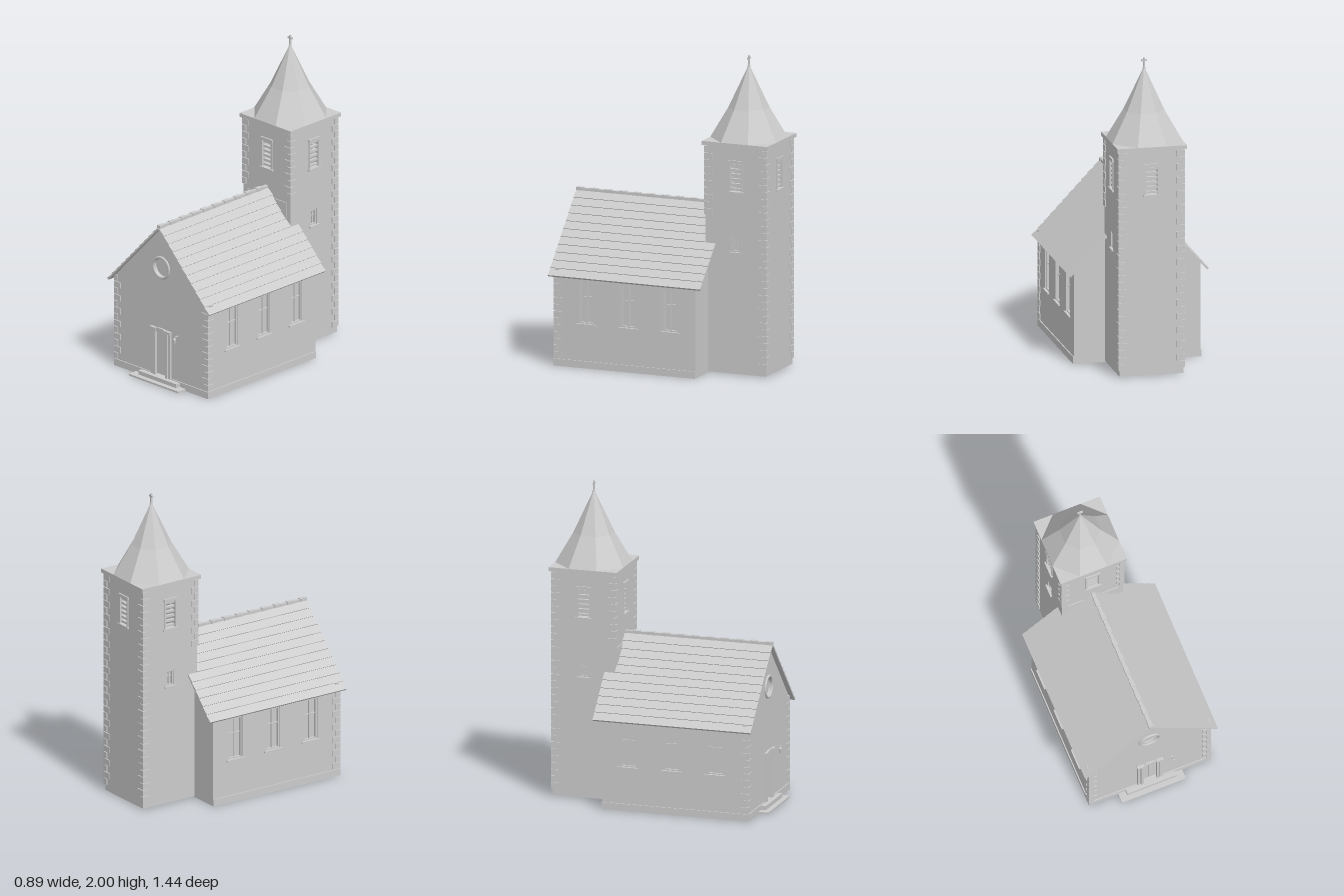
import * as THREE from 'three';

const stone = new THREE.MeshStandardMaterial({ color: 0xcccccc });
stone.name = 'pale grey stone';

function add(parent, name, geometry, x = 0, y = 0, z = 0) {
  const mesh = new THREE.Mesh(geometry, stone);
  mesh.name = name;
  mesh.position.set(x, y, z);
  parent.add(mesh);
  return mesh;
}
const box = (parent, name, w, h, d, x, y, z) => add(parent, name, new THREE.BoxGeometry(w, h, d), x, y, z);

// Group whose local +z points out of the wall
function face(parent, name, x, z, yaw) {
  const g = new THREE.Group();
  g.name = name;
  g.position.set(x, 0, z);
  g.rotation.y = yaw;
  parent.add(g);
  return g;
}
const polygon = (pts) => new THREE.Shape(pts.map(([x, y]) => new THREE.Vector2(x, y)));
const rect = (x, y0, w, y1) => polygon([[x - w / 2, y0], [x + w / 2, y0], [x + w / 2, y1], [x - w / 2, y1]]);

const T = 0.03; // wall thickness
function wall(parent, name, shape, holes = []) {
  shape.holes.push(...holes);
  add(parent, name, new THREE.ExtrudeGeometry(shape, { depth: T, bevelEnabled: false, curveSegments: 16 }), 0, 0, -T);
}

// Glazed window with glazing bars and sill
function glazed(parent, x, y0, w, y1) {
  const h = y1 - y0, y = (y0 + y1) / 2;
  box(parent, 'windowPane', w, h, 0.004, x, y, -0.024);
  for (const s of [-1, 1]) {
    box(parent, 'windowFrameSide', 0.01, h, 0.016, x + s * (w / 2 - 0.005), y, -0.014);
    box(parent, 'windowFrameRail', w, 0.01, 0.016, x, y + s * (h / 2 - 0.005), -0.014);
  }
  box(parent, 'windowMullion', 0.007, h, 0.01, x, y, -0.018);
  box(parent, 'windowTransom', w, 0.007, 0.01, x, y0 + h * 0.62, -0.018);
  box(parent, 'windowSill', w + 0.03, 0.01, 0.04, x, y0 - 0.003, -0.008);
}

// Alternating long and short corner stones
function quoins(parent, x, z, sx, sz, y0, y1) {
  const n = Math.round((y1 - y0) / 0.044), h = (y1 - y0) / n, out = 0.007;
  for (let i = 0; i < n; i++) {
    const w = i % 2 ? 0.055 : 0.032, d = i % 2 ? 0.032 : 0.055;
    box(parent, 'cornerStone', w, h - 0.004, d, x + sx * (out - w / 2), y0 + (i + 0.5) * h, z + sz * (out - d / 2));
  }
}

// ---- Nave ----
const HW = 0.403, ZF = 0.645, ZB = -0.31, RIDGE = 1.035, SLOPE = 0.46 / 0.435;
const roofY = (x) => RIDGE - Math.abs(x) * SLOPE;
const gable = () => polygon([[-HW, 0.005], [HW, 0.005], [HW, roofY(HW)], [0, RIDGE], [-HW, roofY(HW)]]);

function buildNave() {
  const nave = new THREE.Group();
  nave.name = 'nave';
  const zMid = (ZF + ZB) / 2, len = ZF - ZB;

  // Front gable with round window and door
  const front = face(nave, 'frontGable', 0, ZF, 0);
  const rose = new THREE.Path();
  rose.absarc(0, 0.77, 0.06, 0, Math.PI * 2);
  wall(front, 'frontWall', gable(), [rose, rect(0, 0.045, 0.11, 0.35)]);
  add(front, 'roundWindowRing', new THREE.TorusGeometry(0.067, 0.009, 8, 32), 0, 0.77, 0.002);
  const pane = add(front, 'roundWindowPane', new THREE.CylinderGeometry(0.061, 0.061, 0.005, 32), 0, 0.77, -0.018);
  pane.rotation.x = Math.PI / 2;

  for (const s of [-1, 1]) {
    box(front, 'doorLeaf', 0.053, 0.305, 0.008, s * 0.0275, 0.1975, -0.02);
    box(front, 'doorPost', 0.018, 0.30, 0.02, s * 0.053, 0.195, 0.004);
    box(front, 'doorPilaster', 0.02, 0.30, 0.014, s * 0.074, 0.195, 0.003);
    box(front, 'doorCapital', 0.046, 0.018, 0.026, s * 0.064, 0.352, 0.006);
  }
  const arch = polygon([[-0.043, 0.335], [0.043, 0.335], [0.043, 0.352], [0.025, 0.364], [-0.025, 0.364], [-0.043, 0.352]]);
  add(front, 'doorHead', new THREE.ExtrudeGeometry(arch, { depth: 0.016, bevelEnabled: false }), 0, 0, -0.004);

  // Steps
  box(front, 'lowerStep', 0.43, 0.012, 0.08, 0, 0.013, 0.032);
  box(front, 'upperStep', 0.33, 0.028, 0.045, 0, 0.031, 0.016);

  // Wall lantern
  box(front, 'lanternBracket', 0.005, 0.005, 0.035, 0.145, 0.352, 0.0175);
  add(front, 'lantern', new THREE.CylinderGeometry(0.009, 0.006, 0.03, 6), 0.145, 0.322, 0.033);
  add(front, 'lanternCap', new THREE.ConeGeometry(0.011, 0.014, 6), 0.145, 0.344, 0.033);

  // Back gable and long walls
  wall(face(nave, 'backGable', 0, ZB, Math.PI), 'backWall', gable());
  for (const s of [-1, 1]) {
    const side = face(nave, s > 0 ? 'leftSide' : 'rightSide', s * HW, zMid, s * Math.PI / 2);
    const xs = [0.43, 0.145, -0.14].map((z) => -s * (z - zMid));
    wall(side, 'sideWall', rect(0, 0.005, len - 2 * T, roofY(HW)), xs.map((x) => rect(x, 0.285, 0.105, 0.56)));
    xs.forEach((x) => glazed(side, x, 0.285, 0.105, 0.56));
    box(side, 'plinthSide', len, 0.045, 0.008, 0, 0.0275, 0.003);
    quoins(nave, s * HW, ZF, s, 1, 0.052, 0.615);
    box(front, 'plinthFront', 0.33, 0.045, 0.008, s * 0.245, 0.0275, 0.003);
  }

  // Roof slopes in lapped courses; the lower courses run past the tower
  const roof = new THREE.Group();
  roof.name = 'naveRoof';
  nave.add(roof);
  const N = 11, E = 0.435, nx = 0.727, ny = 0.687;
  const slope = (s, from, to, zBack) => {
    const at = (i, t) => {
      const x = E * (1 - i / N);
      return [s * (x + nx * t), roofY(x) + ny * t];
    };
    const pts = [at(from, 0)];
    for (let i = from; i < to; i++) pts.push(at(i, 0.015), at(i + 1, 0.009));
    pts.push(at(to, 0));
    add(roof, 'roofCourses', new THREE.ExtrudeGeometry(polygon(pts), { depth: 0.675 - zBack, bevelEnabled: false }), 0, 0, zBack);
  };
  for (const s of [-1, 1]) {
    slope(s, 0, 6, -0.36);
    slope(s, 6, N, -0.295);
    box(roof, 'snowGuard', 0.008, 0.012, 0.025, s * 0.41, 0.622, 0.625);
  }
  for (let i = 0; i < 20; i++) {
    const h = i % 2 ? 0.016 : 0.02;
    box(roof, 'ridgeTile', i % 2 ? 0.022 : 0.028, h, 0.047, 0, 1.04 + h / 2, 0.65 - i * 0.0482);
  }
  return nave;
}

// ---- Tower ----
function buildTower() {
  const tower = new THREE.Group();
  tower.name = 'tower';
  tower.position.z = -0.497;
  const R = 0.205, TOP = 1.455;

  for (let k = 0; k < 4; k++) {
    const yaw = k * Math.PI / 2;
    const f = face(tower, 'towerFace', R * Math.sin(yaw), R * Math.cos(yaw), yaw);
    const isSide = k % 2 === 1;
    const holes = [rect(0, 1.172, 0.084, 1.352)];
    if (isSide) holes.push(rect(0, 0.785, 0.055, 0.89));
    wall(f, 'towerWall', rect(0, 0.012, isSide ? 2 * (R - T) : 2 * R, TOP), holes);

    // Louvred belfry opening
    for (let i = 0; i < 6; i++) box(f, 'louvre', 0.084, 0.013, 0.02, 0, 1.186 + i * 0.0305, -0.014);
    for (const s of [-1, 1]) box(f, 'belfryFrame', 0.01, 0.18, 0.034, s * 0.042, 1.262, -0.01);
    box(f, 'belfryLintel', 0.1, 0.02, 0.036, 0, 1.36, -0.008);
    box(f, 'belfrySill', 0.108, 0.012, 0.04, 0, 1.166, -0.006);
    if (isSide) glazed(f, 0, 0.785, 0.055, 0.89);
    if (k === 0) box(f, 'roofFlashing', 0.34, 0.16, 0.006, 0, 0.905, 0.003);
  }
  for (const sx of [-1, 1]) {
    quoins(tower, sx * R, R, sx, 1, 1.01, 1.45);
    quoins(tower, sx * R, -R, sx, -1, 0.05, 1.45);
  }

  // Cornice and eight-sided spire with a slight flare
  box(tower, 'cornice', 0.446, 0.025, 0.446, 0, 1.4675, 0);
  const c = 1 / Math.cos(Math.PI / 8);
  const frustum = (name, top, bottom, y0, y1) => {
    const g = new THREE.CylinderGeometry(top * c, bottom * c, y1 - y0, 8, 1, true, Math.PI / 8).toNonIndexed();
    g.computeVertexNormals();
    add(tower, name, g, 0, (y0 + y1) / 2, 0);
  };
  frustum('spireFlare', 0.119, 0.223, 1.48, 1.67);
  frustum('spireTop', 0.004, 0.119, 1.67, 1.935);

  // Finial cross
  add(tower, 'finialBase', new THREE.CylinderGeometry(0.007, 0.01, 0.014, 8), 0, 1.935, 0);
  box(tower, 'crossPost', 0.01, 0.066, 0.01, 0, 1.967, 0);
  box(tower, 'crossArm', 0.036, 0.011, 0.01, 0, 1.983, 0);
  return tower;
}

export function createModel() {
  const church = new THREE.Group();
  church.name = 'church';
  church.add(buildNave(), buildTower());
  return church;
}
